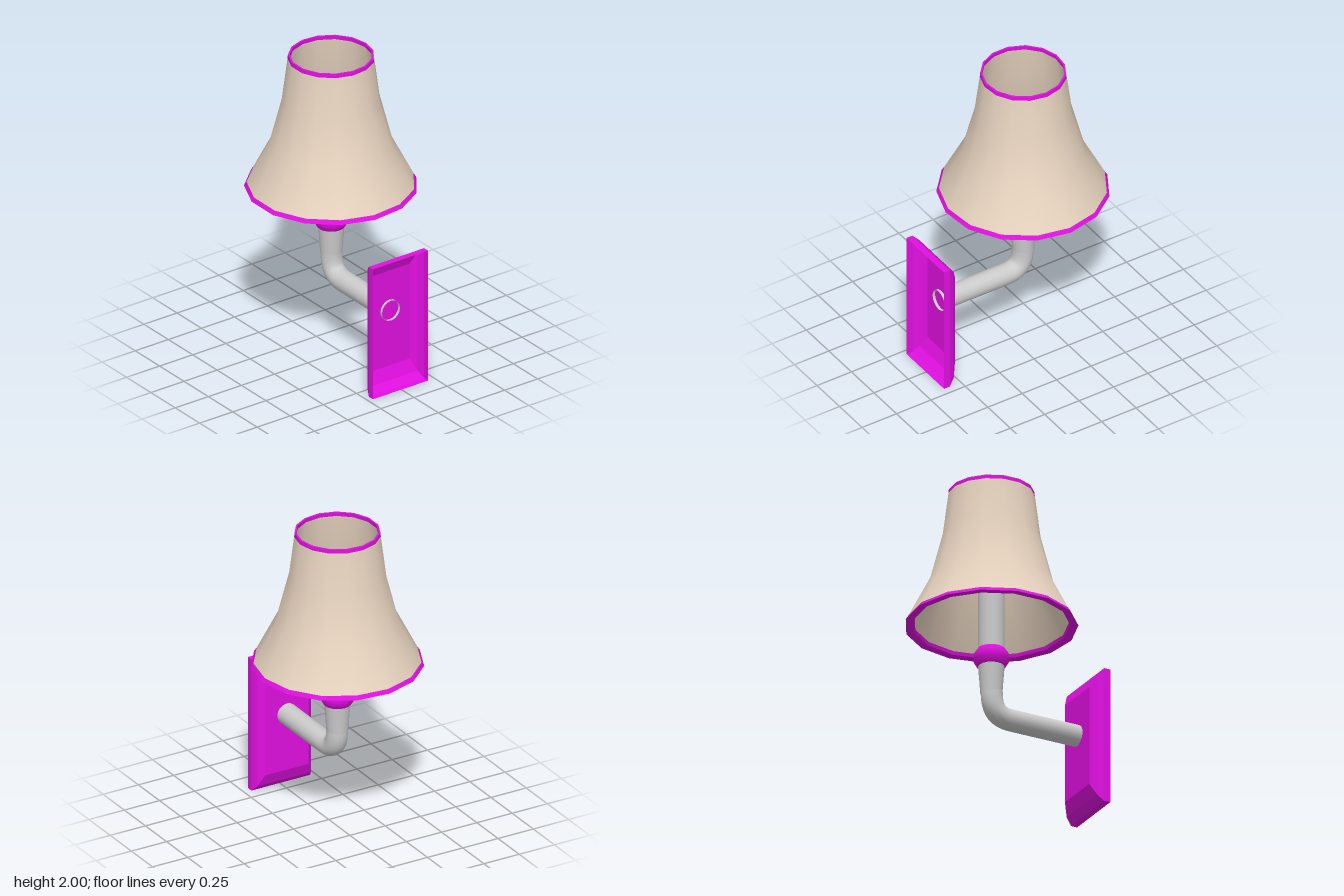
import * as THREE from 'three';

const CX = -0.007, CZ = -0.09; // axis of lamp holder and shade
const material = (color) => new THREE.MeshStandardMaterial({ color, side: THREE.DoubleSide });
const metal = material(0xcccccc);
const fabric = material(0xe8d4c0);
const trim = material(0xe010e0);

export function createModel() {
  const group = new THREE.Group();

  const add = (name, geometry, mat, x = CX, y = 0, z = CZ) => {
    const mesh = new THREE.Mesh(geometry, mat);
    mesh.name = name;
    mesh.position.set(x, y, z);
    group.add(mesh);
    return mesh;
  };

  // Turned part with one corner pointing along +x; profile rows are [radius, y]
  const turned = (name, profile, sides, mat) => {
    const points = profile.map(([r, y]) => new THREE.Vector2(r, y));
    return add(name, new THREE.LatheGeometry(points, sides, Math.PI / 2), mat);
  };

  // Hollow wall plate: rectangular sections [half width, half height, z], closed at the arm side
  const sections = [[0.208, 0.445, 0.622], [0.208, 0.445, 0.58], [0.19, 0.405, 0.54], [0.153, 0.325, 0.507]];
  const corner = ([w, h, z], i) => [[w, h, z], [-w, h, z], [-w, -h, z], [w, -h, z]][i % 4];
  const positions = [];
  const quad = (a, b, c, d) => positions.push(...a, ...b, ...c, ...a, ...c, ...d);
  for (let s = 0; s < sections.length - 1; s++) {
    for (let i = 0; i < 4; i++) {
      quad(corner(sections[s], i), corner(sections[s], i + 1), corner(sections[s + 1], i + 1), corner(sections[s + 1], i));
    }
  }
  const last = sections[sections.length - 1];
  quad(corner(last, 3), corner(last, 2), corner(last, 1), corner(last, 0));
  const plate = new THREE.BufferGeometry();
  plate.setAttribute('position', new THREE.Float32BufferAttribute(positions, 3));
  plate.computeVertexNormals();
  add('wallPlate', plate, trim, CX, 0.445, 0);

  // Bent arm from the plate up towards the collar
  const at = (y, z) => new THREE.Vector3(0, y, z);
  const path = new THREE.CurvePath();
  path.add(new THREE.LineCurve3(at(0.503, 0.525), at(0.503, 0.04)));
  path.add(new THREE.QuadraticBezierCurve3(at(0.503, 0.04), at(0.503, -0.085), at(0.64, -0.085)));
  path.add(new THREE.LineCurve3(at(0.64, -0.085), at(0.66, -0.085)));
  add('arm', new THREE.TubeGeometry(path, 32, 0.068, 16), metal, CX, 0, 0);

  // Flared neck, collar and lamp holder
  turned('neck', [[0.068, 0.65], [0.074, 0.74], [0.082, 0.84]], 16, metal);
  turned('collar', [[0.08, 0.83], [0.086, 0.83], [0.11, 0.87], [0.11, 0.91], [0.086, 0.946], [0.08, 0.946]], 16, trim);
  turned('lampHolder', [[0.081, 0.93], [0.081, 1.49]], 16, metal);
  turned('lampHolderBevel', [[0.081, 1.49], [0.07, 1.5]], 16, metal);
  turned('lampHolderCap', [[0.07, 1.5], [0, 1.5]], 16, metal);

  // Fifteen-sided flared shade with outer and inner walls
  turned('shadeOuter', [[0.514, 1.13], [0.377, 1.4], [0.3, 1.7], [0.265, 1.975]], 15, fabric);
  turned('shadeInner', [[0.253, 1.975], [0.288, 1.7], [0.363, 1.4], [0.474, 1.13]], 15, fabric);

  // Trim bands on both shade edges: outer band, flat lip, inner band
  const band = (name, outer, lip, inner) => {
    turned(name + 'Outer', outer, 15, trim);
    turned(name + 'Lip', lip, 15, trim);
    turned(name + 'Inner', inner, 15, trim);
  };
  band('bottomTrim', [[0.53, 1.105], [0.514, 1.13]], [[0.48, 1.108], [0.53, 1.105]], [[0.474, 1.13], [0.48, 1.108]]);
  band('topTrim', [[0.265, 1.975], [0.263, 2]], [[0.263, 2], [0.251, 2]], [[0.251, 2], [0.253, 1.975]]);

  return group;
}
